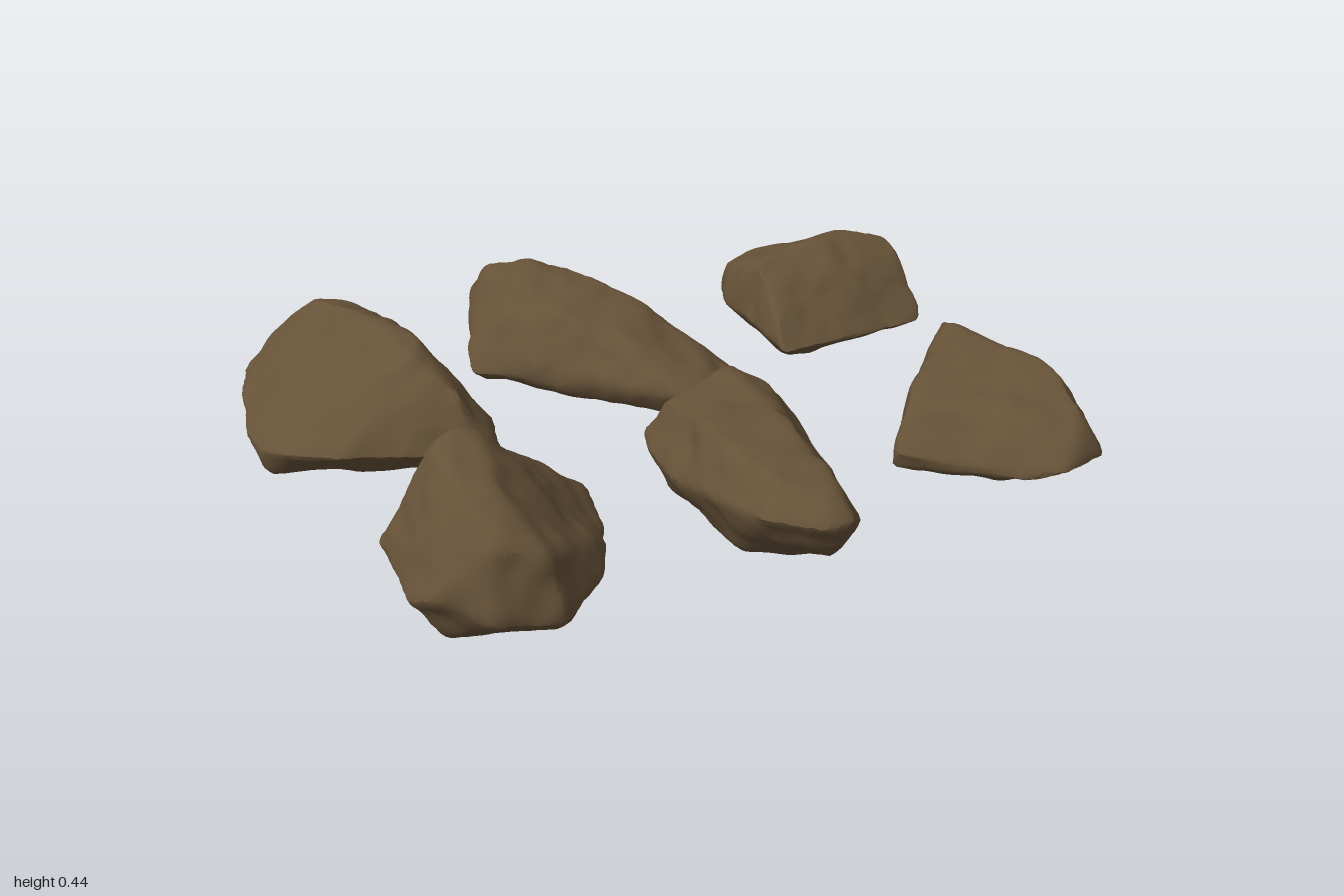
import * as THREE from 'three';
import { ConvexGeometry } from 'three/addons/geometries/ConvexGeometry.js';
import { mergeVertices, toCreasedNormals } from 'three/addons/utils/BufferGeometryUtils.js';

const EDGE = 0.028; // longest allowed edge of the finished rock surface

// smooth value noise in about -1..1
function hash(i, j, k) {
  const s = Math.sin(i * 127.1 + j * 311.7 + k * 74.7) * 43758.5453;
  return (s - Math.floor(s)) * 2 - 1;
}
function noise(x, y, z) {
  const i = Math.floor(x), j = Math.floor(y), k = Math.floor(z);
  const s = t => t * t * (3 - 2 * t);
  const u = s(x - i), v = s(y - j), w = s(z - k);
  const mix = THREE.MathUtils.lerp;
  const row = (b, c) => mix(hash(i, b, c), hash(i + 1, b, c), u);
  const layer = c => mix(row(j, c), row(j + 1, c), v);
  return mix(layer(k), layer(k + 1), w);
}

// halve every edge that is too long, longest first
function split(a, b, c, out) {
  const ab = a.distanceTo(b), bc = b.distanceTo(c), ca = c.distanceTo(a);
  const longest = Math.max(ab, bc, ca);
  if (longest <= EDGE) { out.push(a, b, c); return; }
  const [p, q, r] = longest === ab ? [a, b, c] : longest === bc ? [b, c, a] : [c, a, b];
  const m = p.clone().add(q).multiplyScalar(0.5);
  split(p, m, r, out);
  split(m, q, r, out);
}

// round the corners by averaging each vertex with its neighbours
function relax(geo, rounds) {
  const p = geo.attributes.position, idx = geo.index.array;
  for (let r = 0; r < rounds; r++) {
    const sum = new Float32Array(p.count * 4);
    for (let t = 0; t < idx.length; t++) {
      const v = idx[t], n = idx[t % 3 === 2 ? t - 2 : t + 1];
      sum[v * 4] += p.getX(n);
      sum[v * 4 + 1] += p.getY(n);
      sum[v * 4 + 2] += p.getZ(n);
      sum[v * 4 + 3]++;
    }
    for (let v = 0; v < p.count; v++) {
      const k = 0.5 / sum[v * 4 + 3];
      p.setXYZ(v, p.getX(v) / 2 + sum[v * 4] * k, p.getY(v) / 2 + sum[v * 4 + 1] * k,
        p.getZ(v) / 2 + sum[v * 4 + 2] * k);
    }
  }
}

// a rock: hull of corner points, refined, rounded and roughened
function rockGeometry(corners) {
  const hull = new ConvexGeometry(corners.map(c => new THREE.Vector3(...c)));
  const hp = hull.attributes.position, tris = [];
  const at = i => new THREE.Vector3().fromBufferAttribute(hp, i);
  for (let i = 0; i < hp.count; i += 3) split(at(i), at(i + 1), at(i + 2), tris);
  const geo = mergeVertices(new THREE.BufferGeometry().setFromPoints(tris), 1e-5);
  relax(geo, 2);
  geo.computeVertexNormals();
  const p = geo.attributes.position, n = geo.attributes.normal;
  for (let i = 0; i < p.count; i++) {
    const x = p.getX(i), y = p.getY(i), z = p.getZ(i);
    const d = 0.01 * noise(x * 8, y * 8, z * 8) + 0.006 * noise(x * 20, y * 20, z * 20);
    p.setXYZ(i, x + n.getX(i) * d, y + n.getY(i) * d, z + n.getZ(i) * d);
  }
  geo.deleteAttribute('normal');
  return toCreasedNormals(geo, 0.55);
}

export function createModel() {
  const model = new THREE.Group();
  const stone = new THREE.MeshStandardMaterial({ color: 0x665238 });
  stone.name = 'brownStone';
  const rock = (name, corners) => {
    const mesh = new THREE.Mesh(rockGeometry(corners), stone);
    mesh.name = name;
    model.add(mesh);
  };

  // corners run top, sides, underside
  rock('frontRightPeakedRock', [
    [-.81, .42, .38], [-.74, .445, .37], [-.69, .43, .4], [-.81, .4, .54], [-.73, .39, .57],
    [-.6, .34, .36], [-.53, .28, .36], [-.79, .3, .68], [-.67, .27, .72],
    [-.41, .19, .35], [-.41, .14, .47], [-.51, .13, .64], [-.52, .2, .6], [-.65, .1, .75],
    [-.8, .12, .71], [-.92, .17, .62], [-.94, .13, .54], [-.92, .16, .3], [-.8, .15, .26], [-.47, .17, .29],
    [-.86, .02, .55], [-.8, .01, .4], [-.62, .01, .58], [-.6, .03, .36], [-.47, .08, .4],
  ]);
  rock('frontMiddleLongRock', [
    [-.13, .31, .22], [.08, .34, .18], [.15, .29, .24], [-.12, .32, .5], [.05, .33, .55], [-.11, .31, .73],
    [.03, .3, .76], [.12, .24, .55], [-.04, .29, .82],
    [-.19, .18, .22], [-.17, .2, .17], [0, .2, .12], [.2, .2, .14], [.255, .17, .2], [.2, .15, .4],
    [.13, .16, .67], [.09, .19, .79], [.01, .25, .87], [-.06, .24, .87], [-.01, .18, .865], [-.16, .24, .77],
    [-.19, .17, .4], [-.12, .06, .25], [.15, .07, .22], [-.1, .035, .55], [.07, .045, .6], [0, .11, .81],
  ]);
  rock('frontLeftPointedRock', [
    [.76, .32, .17], [.73, .34, .23], [.8, .28, .21], [.65, .31, .38], [.62, .28, .58], [.8, .31, .45],
    [.83, .32, .58], [.8, .27, .7], [.66, .25, .68],
    [.78, .17, .115], [.81, .15, .19], [.58, .2, .32], [.45, .27, .45], [.375, .15, .49], [.385, .1, .48],
    [.47, .1, .41], [.88, .2, .41], [.915, .18, .61], [.87, .11, .67], [.83, .16, .775], [.69, .16, .805],
    [.62, .13, .745], [.56, .14, .66], [.5, .09, .56],
    [.62, .05, .52], [.82, .05, .6], [.78, .045, .4],
  ]);
  rock('backRightLargeRock', [
    [-.62, .35, -.21], [-.58, .37, -.3], [-.67, .375, -.5], [-.72, .35, -.72], [-.62, .33, -.66],
    [-.7, .3, -.82], [-.8, .26, -.45], [-.82, .25, -.78], [-.55, .27, -.1], [-.5, .25, -.18],
    [-.81, .18, -.87], [-.69, .18, -.87], [-.6, .18, -.8], [-.56, .22, -.7], [-.5, .2, -.48], [-.445, .15, -.14],
    [-.465, .1, -.03], [-.555, .13, -.025], [-.85, .12, -.18], [-.95, .11, -.28], [-1.005, .1, -.36],
    [-1.005, .1, -.5], [-.96, .13, -.69], [-.92, .14, -.8],
    [-.98, .01, -.4], [-.85, .03, -.7], [-.72, .01, -.4], [-.6, .04, -.17], [-.65, .06, -.7],
  ]);
  rock('backMiddleSlantedRock', [
    [-.19, .32, -.78], [-.11, .36, -.68], [-.18, .33, -.58], [0, .345, -.58], [.1, .3, -.44], [.2, .22, -.28],
    [-.26, .25, -.55], [-.13, .29, -.42], [0, .26, -.29], [.1, .21, -.19],
    [-.2, .22, -.87], [-.11, .2, -.77], [.06, .18, -.58], [.14, .16, -.47], [.24, .15, -.32], [.32, .1, -.21],
    [.32, .1, -.09], [.19, .14, -.06], [.11, .13, -.04], [-.07, .14, -.27], [-.22, .15, -.41],
    [-.345, .1, -.55], [-.33, .15, -.61], [-.25, .24, -.73],
    [-.31, .07, -.56], [-.2, .09, -.76], [0, .05, -.38], [.22, .07, -.14], [.1, .07, -.1],
  ]);
  rock('backLeftWedgeRock', [
    [.52, .32, -.42], [.68, .35, -.44], [.84, .35, -.46], [.97, .33, -.4], [.5, .21, -.26],
    [.52, .25, -.6], [.62, .25, -.67], [.85, .25, -.65],
    [.475, .13, -.185], [.48, .16, -.3], [.485, .16, -.55], [.52, .15, -.65], [.61, .14, -.7], [.78, .14, -.7],
    [.87, .15, -.67], [.92, .16, -.61], [.985, .2, -.42], [1, .16, -.26], [.98, .12, -.22], [.7, .13, -.2],
    [.52, .08, -.25], [.95, .09, -.27], [.6, .07, -.58], [.85, .08, -.58],
  ]);
  return model;
}
